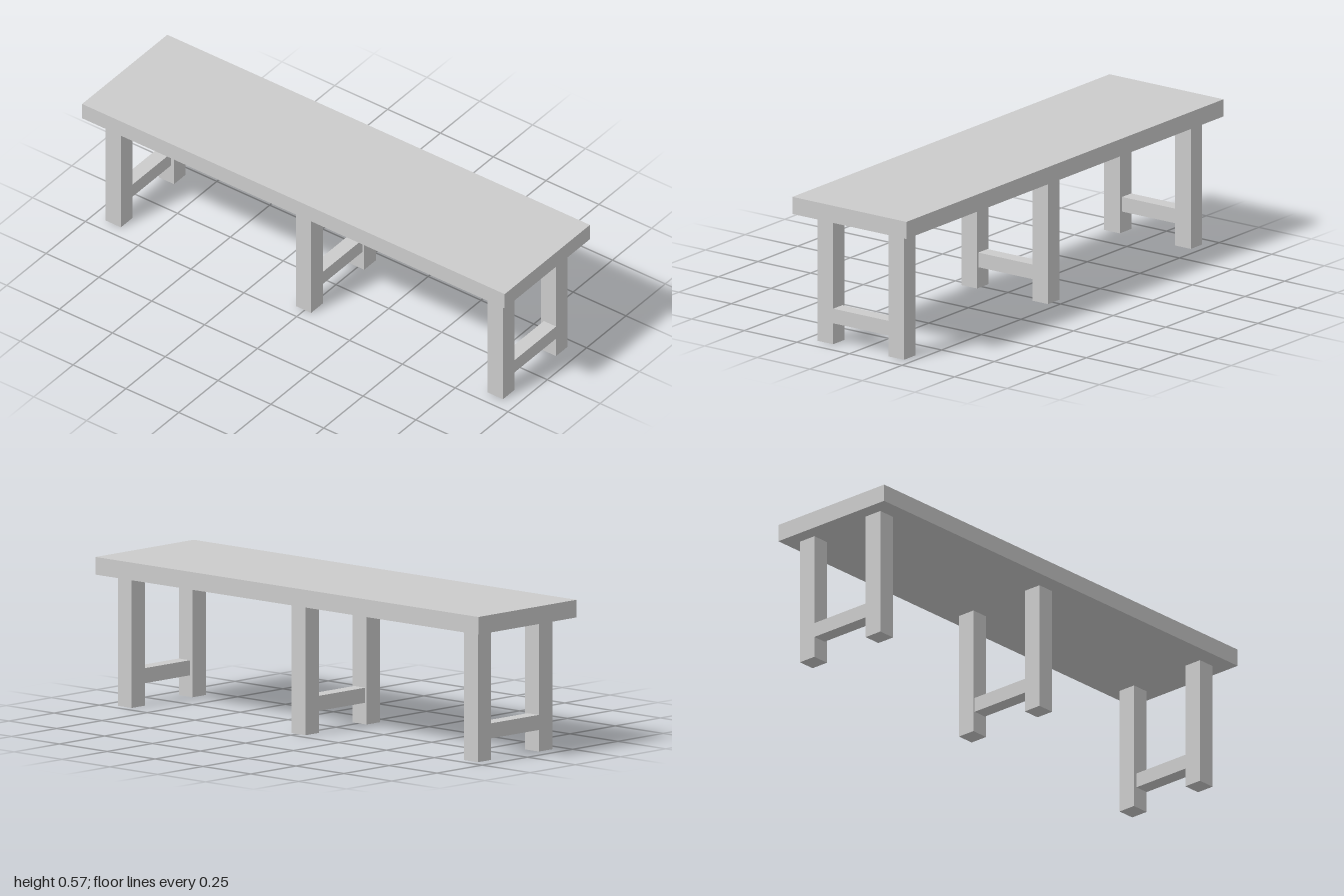
import * as THREE from 'three';

const material = new THREE.MeshStandardMaterial({ color: 0xcccccc, flatShading: true });

// Box given by its limits along each axis
function slab(name, [x0, x1], [y0, y1], [z0, z1]) {
  const mesh = new THREE.Mesh(new THREE.BoxGeometry(x1 - x0, y1 - y0, z1 - z0), material);
  mesh.name = name;
  mesh.position.set((x0 + x1) / 2, (y0 + y1) / 2, (z0 + z1) / 2);
  return mesh;
}

export function createModel() {
  const bench = new THREE.Group();
  bench.name = 'bench';

  const seatBottom = 0.505;
  bench.add(slab('seat', [-1, 1], [seatBottom, 0.573], [-0.271, 0.271]));

  // Three trestles: centre x, and sideways shift of the narrower rail
  const legHalf = 0.036, railHalf = 0.029;
  const trestles = [
    ['right', -0.906, -0.007],
    ['middle', -0.006, 0],
    ['left', 0.902, 0.007],
  ];
  for (const [side, x, shift] of trestles) {
    const trestle = new THREE.Group();
    trestle.name = `${side}Trestle`;
    const legX = [x - legHalf, x + legHalf];
    const railX = [x + shift - railHalf, x + shift + railHalf];
    trestle.add(
      slab('frontLeg', legX, [0, seatBottom], [0.124, 0.199]),
      slab('backLeg', legX, [0, seatBottom], [-0.213, -0.139]),
      slab('rail', railX, [0.083, 0.141], [-0.139, 0.124]),
    );
    bench.add(trestle);
  }
  return bench;
}
